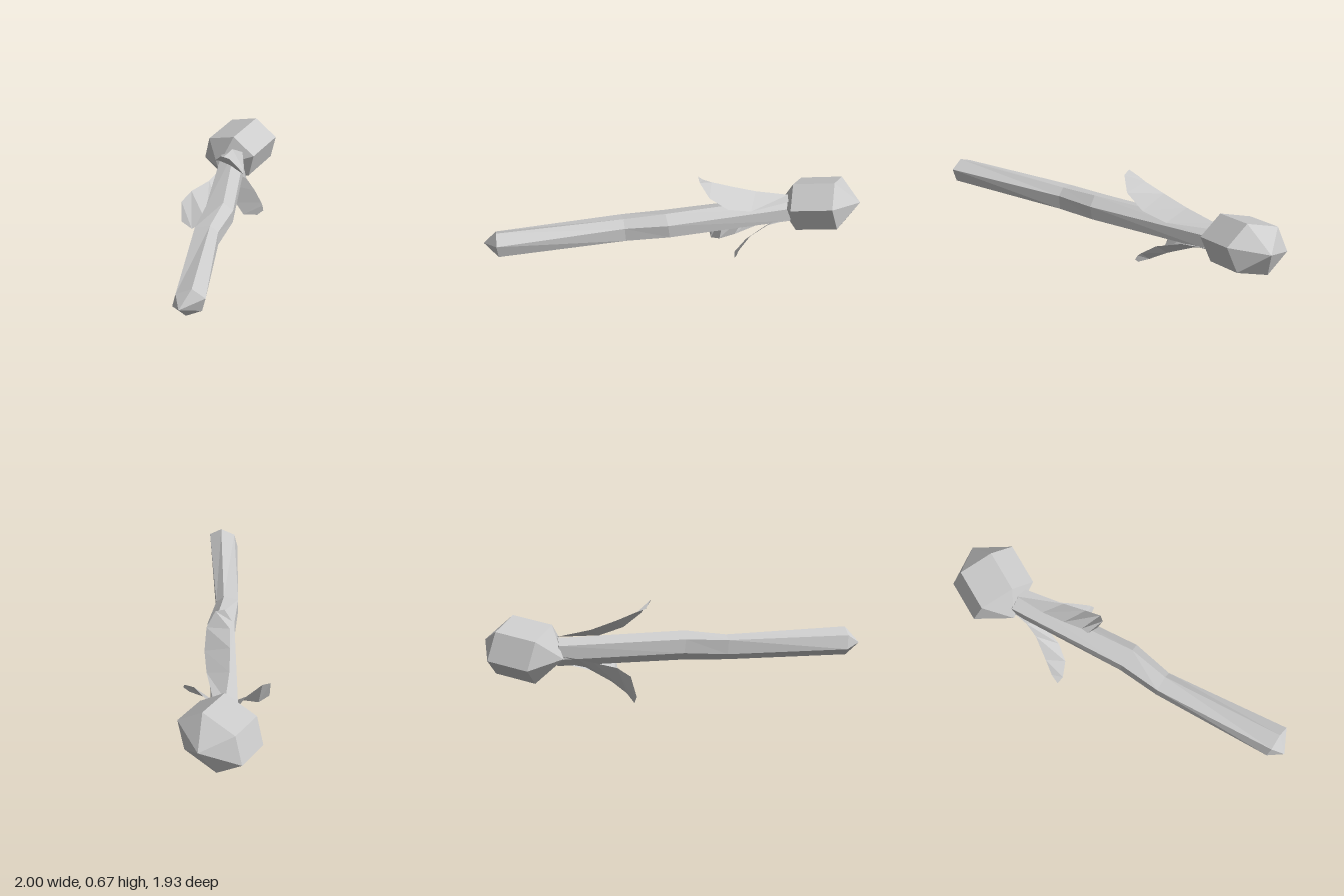
import * as THREE from 'three';

// Triangles -> flat shaded geometry
function geometryFrom(triangles) {
  const g = new THREE.BufferGeometry();
  g.setAttribute('position', new THREE.Float32BufferAttribute(triangles.flat(2), 3));
  g.computeVertexNormals();
  return g;
}

// Skin over six-sided rings, closed by a point at each end
function loft(startTip, rings, endTip) {
  const t = [];
  const n = rings[0].length;
  for (let i = 0; i < n; i++) {
    const j = (i + 1) % n;
    t.push([startTip, rings[0][j], rings[0][i]]);
    for (let k = 0; k < rings.length - 1; k++) {
      const a = rings[k], b = rings[k + 1];
      t.push([a[i], a[j], b[j]], [a[i], b[j], b[i]]);
    }
    const last = rings[rings.length - 1];
    t.push([last[i], last[j], endTip]);
  }
  return geometryFrom(t);
}

// Ring from a centre and three corner offsets, mirrored through the centre
function ring(c, offsets) {
  const at = s => offsets.map(o => o.map((v, i) => c[i] + s * v));
  return [...at(1), ...at(-1)];
}

// Leaf strip between two edges, ending in a tip point
function leaf(edgeA, edgeB, tip) {
  const t = [];
  for (let i = 0; i < edgeA.length - 1; i++) {
    t.push([edgeA[i], edgeB[i], edgeB[i + 1]], [edgeA[i], edgeB[i + 1], edgeA[i + 1]]);
  }
  t.push([edgeA.at(-1), edgeB.at(-1), tip]);
  return geometryFrom(t);
}

export function createModel() {
  const grey = new THREE.MeshStandardMaterial({ color: 0xcccccc, flatShading: true });
  grey.name = 'grey';
  const leafGrey = grey;
  leafGrey.side = THREE.DoubleSide;

  const model = new THREE.Group();
  model.name = 'buddedStem';
  const add = (name, geometry) => {
    const m = new THREE.Mesh(geometry, grey);
    m.name = name;
    model.add(m);
  };

  // Bent hexagonal stem
  add('stem', loft([-1, 0.33, 0.9], [
    ring([-0.905, 0.338, 0.875], [[0.012, 0.097, 0.015], [0.063, 0.045, 0.085], [0.055, -0.05, 0.06]]),
    ring([-0.305, 0.325, 0.25], [[0.015, 0.083, 0.02], [0.05, 0.038, 0.06], [0.055, -0.06, 0.055]]),
    ring([-0.065, 0.34, 0.075], [[0.01, 0.097, 0.03], [0.06, 0.04, 0.075], [0.065, -0.055, 0.065]]),
    ring([0.54, 0.325, -0.555], [[0.005, 0.095, 0.01], [0.055, 0.04, 0.06], [0.06, -0.055, 0.06]]),
  ], [0.58, 0.325, -0.6]));

  // Faceted head
  const corners = [[-0.015, 0.192, 0.075], [0.05, 0.075, 0.232], [0.064, -0.112, 0.16]];
  add('head', loft([0.443, 0.295, -0.615], [
    ring([0.581, 0.321, -0.655], corners),
    ring([0.857, 0.374, -0.734], corners),
  ], [0.996, 0.4, -0.772]));

  // Three curling leaves
  add('upperLeaf', leaf(
    [[0.54, 0.43, -0.56], [0.36, 0.475, -0.42], [0.23, 0.535, -0.3], [0.13, 0.59, -0.2], [0.08, 0.61, -0.17]],
    [[0.58, 0.42, -0.49], [0.41, 0.41, -0.26], [0.3, 0.46, -0.13], [0.2, 0.56, -0.05], [0.12, 0.655, -0.055]],
    [0.08, 0.67, -0.1]));
  add('rearLeaf', leaf(
    [[0.48, 0.31, -0.61], [0.38, 0.29, -0.54], [0.28, 0.27, -0.5], [0.1, 0.25, -0.475], [0, 0.2, -0.46]],
    [[0.53, 0.25, -0.54], [0.4, 0.215, -0.43], [0.24, 0.12, -0.35], [0.125, 0.05, -0.335], [0.03, 0.003, -0.38]],
    [-0.025, 0.06, -0.43]));
  add('frontLeaf', leaf(
    [[0.53, 0.25, -0.56], [0.44, 0.21, -0.44], [0.36, 0.15, -0.29], [0.34, 0.11, -0.17], [0.39, 0.13, -0.075]],
    [[0.59, 0.28, -0.48], [0.5, 0.285, -0.34], [0.45, 0.265, -0.18], [0.43, 0.215, -0.08], [0.425, 0.2, -0.06]],
    [0.42, 0.17, -0.043]));

  return model;
}
